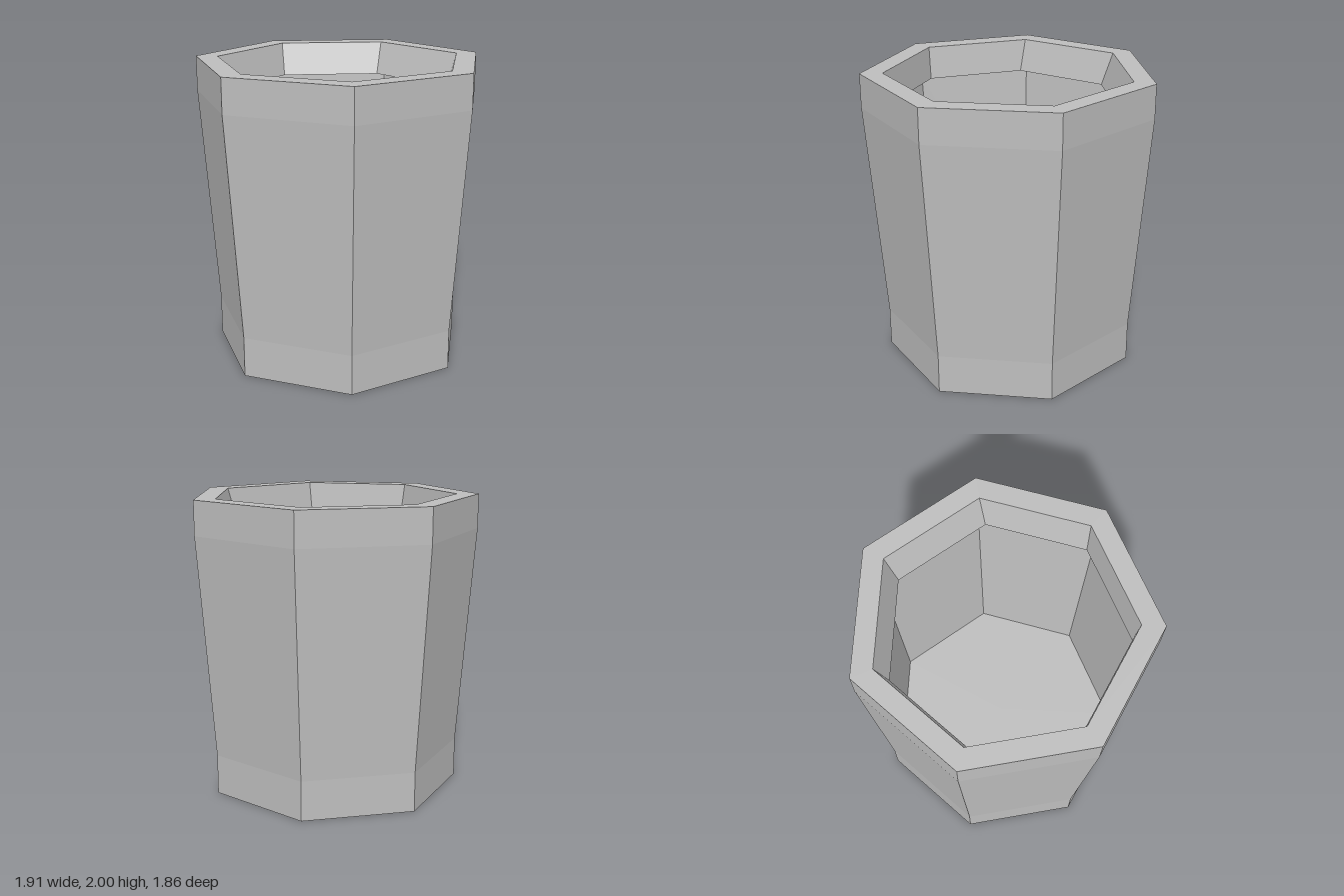
import * as THREE from 'three';

const SIDES = 7;

// Corner of a heptagonal section [y, radius, centreZ]; corner 0 points to the back
function corner([y, r, cz], i) {
  const a = (i / SIDES) * Math.PI * 2;
  return [r * Math.sin(a), y, cz - r * Math.cos(a)];
}

// Flat-faced skin through a run of sections
function loft(sections) {
  const pos = [];
  for (let s = 0; s < sections.length - 1; s++) {
    const a = sections[s], b = sections[s + 1];
    for (let i = 0; i < SIDES; i++) {
      const a0 = corner(a, i), a1 = corner(a, i + 1);
      const b0 = corner(b, i), b1 = corner(b, i + 1);
      if (b[1] > 0) pos.push(...a0, ...b0, ...b1);
      if (a[1] > 0) pos.push(...a0, ...b1, ...a1);
      else if (b[1] === 0) continue;
    }
  }
  const g = new THREE.BufferGeometry();
  g.setAttribute('position', new THREE.Float32BufferAttribute(pos, 3));
  g.computeVertexNormals();
  return g;
}

export function createModel() {
  const group = new THREE.Group();
  group.name = 'cup';
  const grey = new THREE.MeshStandardMaterial({ color: 0xbebebe });
  grey.name = 'grey';

  const C = 0.048; // heptagon centre, so the depth is centred on z = 0
  const base = [0, 0.866, C], foot = [0.27, 0.866, C];
  const shoulder = [1.77, 0.978, C], top = [2, 0.978, C];
  const mouth = [2, 0.83, 0.046], lipEnd = [1.78, 0.775, 0.076];
  const wallTop = [1.78, 0.92, C], wallEnd = [0.25, 0.8, C];

  const parts = {
    underside: [[0, 0, C], base],
    outerWall: [base, foot, shoulder, top],
    rim: [top, mouth],
    innerLip: [mouth, lipEnd],
    lipUnderside: [lipEnd, wallTop],
    innerWall: [wallTop, wallEnd],
    innerFloor: [wallEnd, [0.25, 0, C]],
  };
  for (const [name, sections] of Object.entries(parts)) {
    const mesh = new THREE.Mesh(loft(sections), grey);
    mesh.name = name;
    group.add(mesh);
  }
  return group;
}
